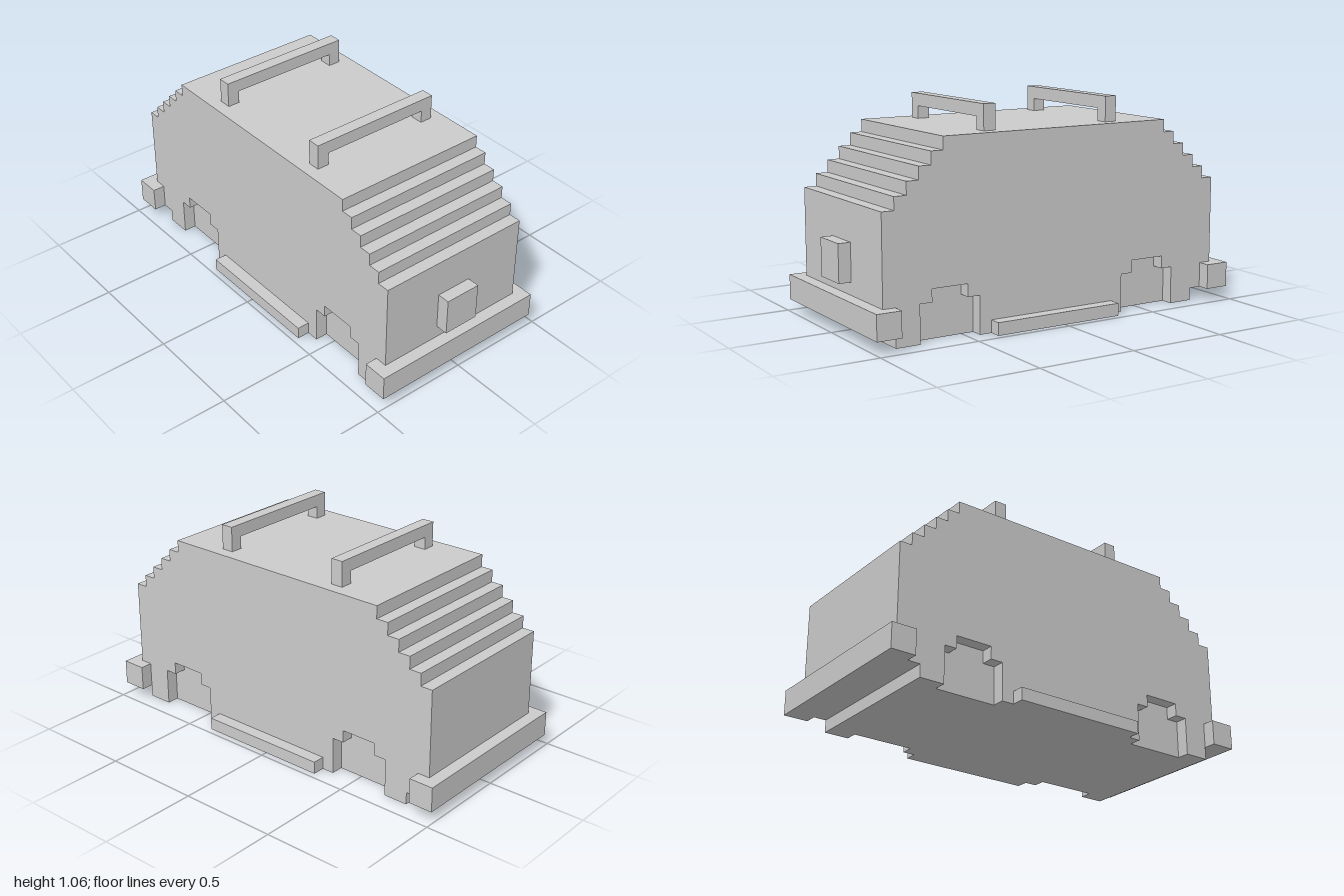
import * as THREE from 'three';

const U = 1 / 16; // one block
const material = new THREE.MeshStandardMaterial({ color: 0xcccccc, flatShading: true });

// Box from its corner limits, measured in blocks
function box(name, x0, x1, y0, y1, z0, z1) {
  const g = new THREE.BoxGeometry((x1 - x0) * U, (y1 - y0) * U, (z1 - z0) * U);
  const mesh = new THREE.Mesh(g, material);
  mesh.position.set((x0 + x1) / 2 * U, (y0 + y1) / 2 * U, (z0 + z1) / 2 * U);
  mesh.name = name;
  return mesh;
}

// Side outline extruded across the width from z0 to z1
function slab(name, points, z0, z1) {
  const shape = new THREE.Shape(points.map(([x, y]) => new THREE.Vector2(x * U, y * U)));
  const g = new THREE.ExtrudeGeometry(shape, { depth: (z1 - z0) * U, bevelEnabled: false });
  g.translate(0, 0, z0 * U);
  const mesh = new THREE.Mesh(g, material);
  mesh.name = name;
  return mesh;
}

// Stepped wheel arch, five blocks wide, starting at x
const arch = (x) => [[x, 0], [x, 3], [x + 1, 3], [x + 1, 4], [x + 4, 4], [x + 4, 3], [x + 5, 3], [x + 5, 0]];

// Body outline, counter-clockwise from the lower left corner
function outline(withArches) {
  const p = [[-13, 0]];
  if (withArches) p.push(...arch(-11), ...arch(7));
  p.push([14, 0], [14, 3], [15, 3], [15, 10]);
  for (let i = 0; i < 5; i++) p.push([14 - i, 10 + i], [14 - i, 11 + i]);
  for (let i = 4; i >= 0; i--) p.push([-14 + i, 11 + i], [-14 + i, 10 + i]);
  p.push([-15, 10], [-15, 3], [-14, 3], [-14, 1], [-13, 1]);
  return p;
}

export function createModel() {
  const model = new THREE.Group();
  model.name = 'blockVan';

  // Body core, with side panels that leave the shallow wheel arches open
  model.add(slab('bodyCore', outline(false), -5.5, 5.5));
  model.add(slab('frontSidePanel', outline(true), 5.5, 6.5));
  model.add(slab('backSidePanel', outline(true), -6.5, -5.5));

  // Side sills
  model.add(box('frontSill', -5, 6, 0, 1, 6.5, 7.5));
  model.add(box('backSill', -5, 6, 0, 1, -7.5, -6.5));

  // Full-width bumpers and the end plate
  model.add(box('leftBumper', 14, 16, 1, 3, -7.5, 7.5));
  model.add(box('rightBumper', -16, -14, 1, 3, -7.5, 7.5));
  model.add(box('endPlate', 15, 16, 4, 7, -1.5, 1.5));

  // Roof bars, each a rail on two feet
  for (const [side, x] of [['right', -6], ['left', 5]]) {
    const bar = new THREE.Group();
    bar.name = side + 'RoofBar';
    bar.add(box('rail', x, x + 1, 16, 17, -5.5, 5.5));
    for (const z of [-5.5, 4.5]) bar.add(box('foot', x, x + 1, 15, 16, z, z + 1));
    model.add(bar);
  }
  return model;
}
